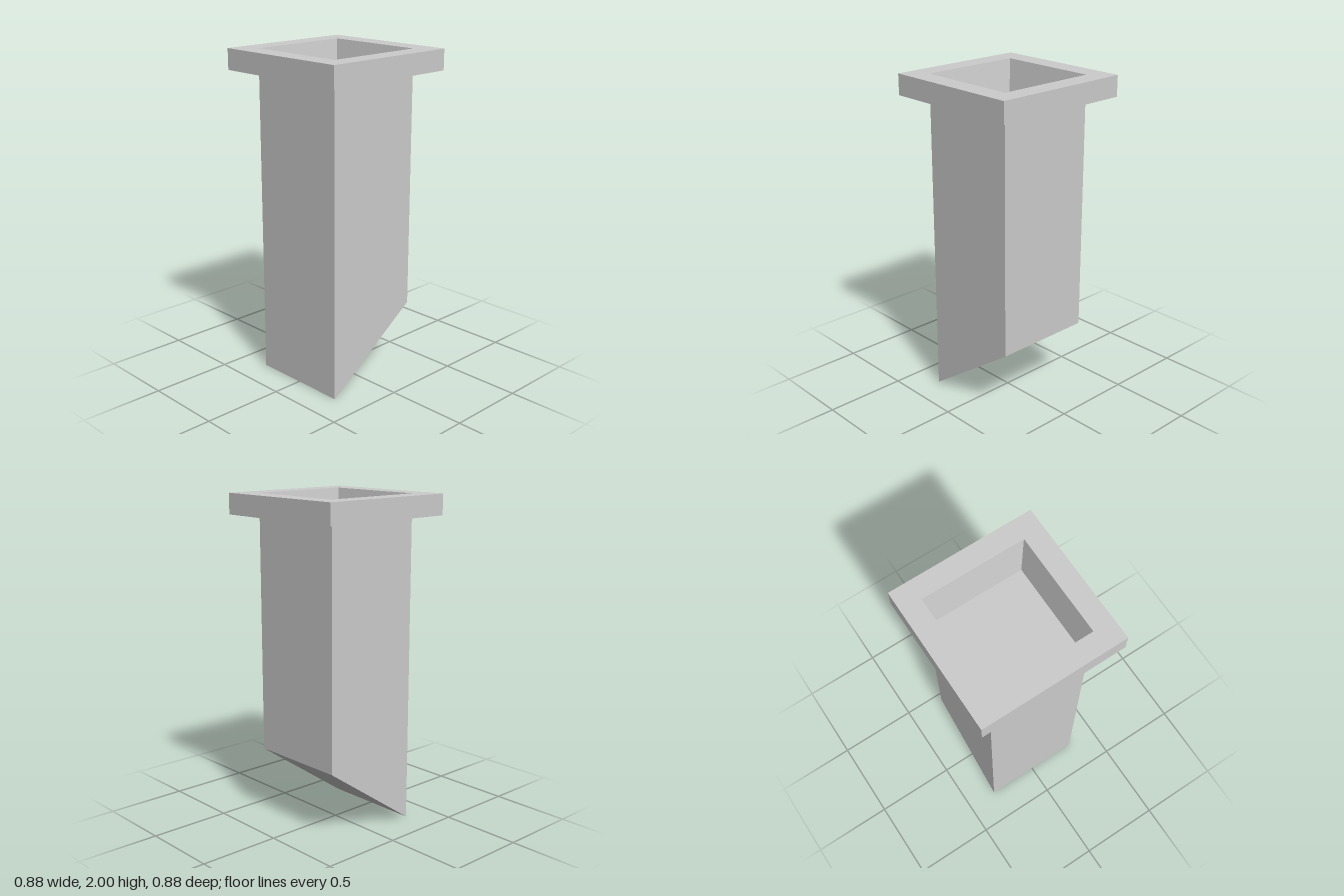
import * as THREE from 'three';

const material = new THREE.MeshStandardMaterial({ color: 0xcccccc, flatShading: true });

// Square cross-section: half width, height at the front edge, height at the back edge
function ring(half, yFront, yBack = yFront) {
  return [
    [half, yFront, half], [half, yBack, -half],
    [-half, yBack, -half], [-half, yFront, half],
  ];
}

// Skin successive square rings, with an optional cap on the first or last one
function skin(name, rings, { capFirst = false, capLast = false } = {}) {
  const points = [];
  const quad = (a, b, c, d) => points.push(...a, ...b, ...c, ...a, ...c, ...d);
  for (let r = 0; r < rings.length - 1; r++) {
    const lower = rings[r], upper = rings[r + 1];
    for (let i = 0; i < 4; i++) {
      const j = (i + 1) % 4;
      quad(lower[i], lower[j], upper[j], upper[i]);
    }
  }
  if (capFirst) quad(...[...rings[0]].reverse());
  if (capLast) quad(...rings[rings.length - 1]);

  const geometry = new THREE.BufferGeometry();
  geometry.setAttribute('position', new THREE.Float32BufferAttribute(points, 3));
  geometry.computeVertexNormals();
  const mesh = new THREE.Mesh(geometry, material);
  mesh.name = name;
  return mesh;
}

export function createModel() {
  const model = new THREE.Group();
  model.name = 'squareChute';

  const bodyHalf = 0.3125, flangeHalf = 0.4375, floorHalf = 0.275;
  const top = 2, flangeBottom = 1.875, floorY = 1.75;

  // Square shaft with a slanted underside, lowest at the front
  const shaft = skin('shaft',
    [ring(bodyHalf, 0, 0.4375), ring(bodyHalf, flangeBottom)],
    { capFirst: true });

  // Flange: underside, outer edge and top rim around the opening
  const flange = skin('flange', [
    ring(bodyHalf, flangeBottom), ring(flangeHalf, flangeBottom),
    ring(flangeHalf, top), ring(bodyHalf, top),
  ]);

  // Tapered recess with a flat floor
  const recess = skin('recess',
    [ring(bodyHalf, top), ring(floorHalf, floorY)],
    { capLast: true });

  model.add(shaft, flange, recess);
  return model;
}
